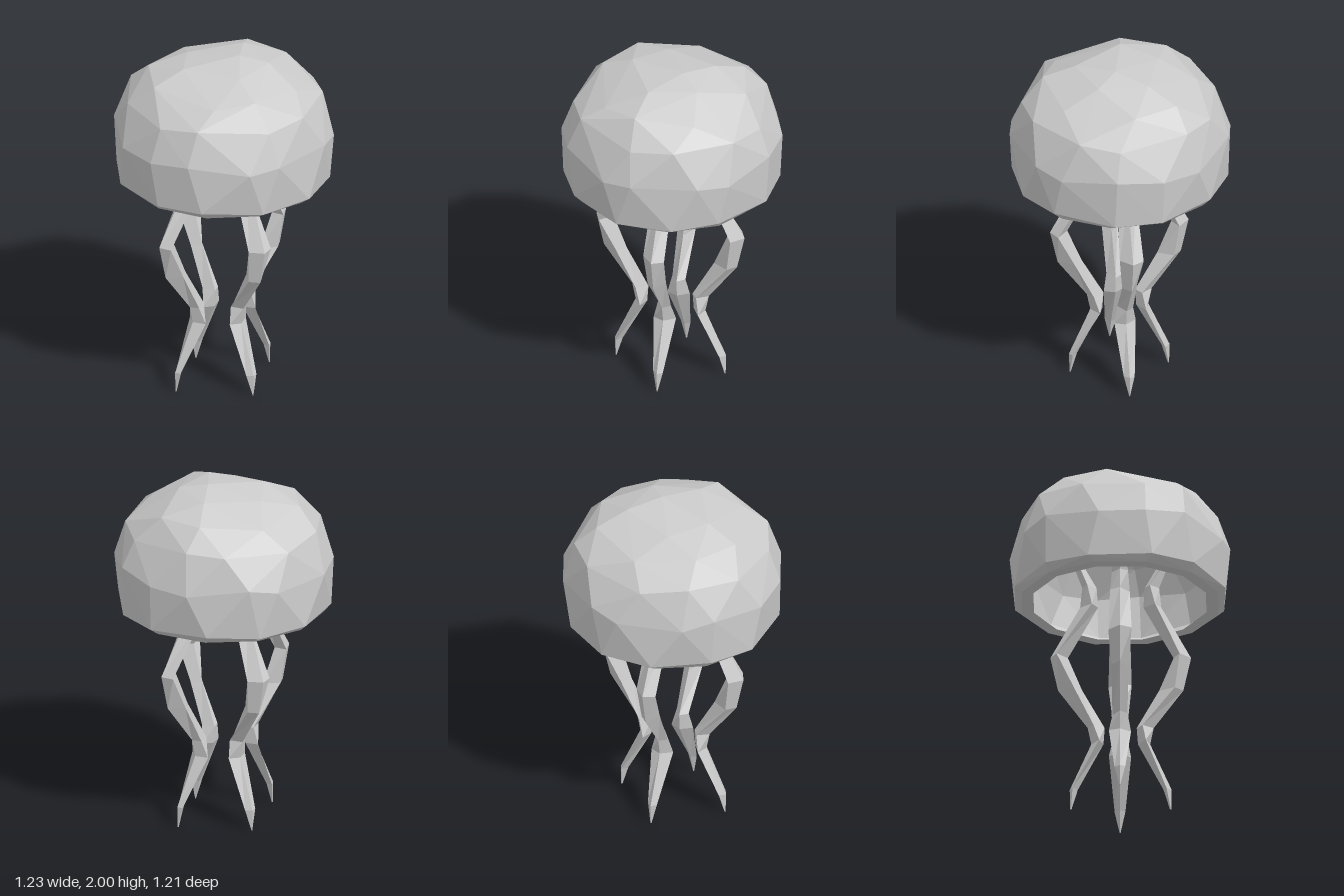
import * as THREE from 'three';
import { ConvexGeometry } from 'three/addons/geometries/ConvexGeometry.js';

const material = new THREE.MeshStandardMaterial({ color: 0xcccccc, flatShading: true, side: THREE.DoubleSide });
const RIM_Y = 1.27;
const INNER = 0.88; // inner shell size relative to the outer one

function geometryFrom(positions) {
  const g = new THREE.BufferGeometry();
  g.setAttribute('position', new THREE.Float32BufferAttribute(positions, 3));
  g.computeVertexNormals();
  return g;
}

function part(positions, name) {
  const mesh = new THREE.Mesh(geometryFrom(positions), material);
  mesh.name = name;
  return mesh;
}

// Ring of points with a slight, repeatable unevenness
function ring(y, r, n, phase, wobble) {
  return Array.from({ length: n }, (_, i) => {
    const a = ((i + phase + wobble * 8 * Math.sin(i * 2.7 + n)) / n) * Math.PI * 2;
    return new THREE.Vector3(r * Math.cos(a), y + wobble * Math.sin(i * 4.1 + phase * 9), r * Math.sin(a));
  });
}

// Faceted hollow bell: outer shell, inner shell and the rim joining them
function makeBell() {
  const bell = new THREE.Group();
  bell.name = 'bell';
  const rim = ring(RIM_Y, 0.565, 12, 0.5, 0);
  const points = [
    new THREE.Vector3(0.04, 2, -0.08),
    ...ring(1.965, 0.25, 5, 0.3, 0.012),
    ...ring(1.89, 0.43, 8, 0.1, 0.02),
    ...ring(1.77, 0.55, 11, 0.4, 0.02),
    ...ring(1.57, 0.617, 14, 0, 0.025),
    ...ring(1.305, 0.605, 12, 0.5, 0.01),
    ...rim,
  ];
  const hull = new ConvexGeometry(points).attributes.position.array;
  const outer = [], inner = [], edge = [];
  const shrink = (x, y, z) => [x * INNER, RIM_Y + (y - RIM_Y) * INNER, z * INNER];
  for (let i = 0; i < hull.length; i += 9) {
    const t = [0, 3, 6].map((k) => [...hull.slice(i + k, i + k + 3)]);
    if (t.every((p) => p[1] < RIM_Y + 0.002)) continue; // leave the underside open
    outer.push(...t.flat());
    inner.push(...[t[0], t[2], t[1]].flatMap((p) => shrink(...p)));
  }
  rim.forEach((p, i) => {
    const q = rim[(i + 1) % rim.length];
    const a = p.toArray(), b = q.toArray(), c = shrink(...b), d = shrink(...a);
    edge.push(...a, ...b, ...c, ...a, ...c, ...d);
  });
  bell.add(part(outer, 'bellOuter'), part(inner, 'bellInner'), part(edge, 'bellRim'));
  return bell;
}

// Zigzag tentacle lofted through diamond sections: [y, inner reach, outer reach, half width]
const SECTIONS = [
  [0, 0.27, 0.278, 0.003],
  [0.12, 0.235, 0.28, 0.03],
  [0.4, 0.092, 0.16, 0.062],
  [0.5, 0.085, 0.18, 0.042],
  [0.73, 0.21, 0.345, 0.047],
  [0.93, 0.29, 0.388, 0.065],
  [1.24, 0.122, 0.222, 0.055],
  [1.36, 0.13, 0.21, 0.045],
  [1.58, 0.25, 0.29, 0.02],
];

function makeTentacle(name, angle, shift) {
  const rings = SECTIONS.map(([y, a, b, w], i) => {
    const mid = (a + b) / 2 + shift, skew = (b - a) * 0.15 * (i % 2 ? 1 : -1);
    return [[b + shift, y, 0], [mid + skew, y, -w], [a + shift, y, 0], [mid - skew, y, w]];
  });
  const pos = [];
  for (let i = 0; i < rings.length - 1; i++) {
    for (let j = 0; j < 4; j++) {
      const k = (j + 1) % 4;
      const [a, b, c, d] = [rings[i][j], rings[i][k], rings[i + 1][k], rings[i + 1][j]];
      pos.push(...a, ...b, ...c, ...a, ...c, ...d);
    }
  }
  for (const [r, flip] of [[rings[0], true], [rings[rings.length - 1], false]]) {
    const [a, b, c, d] = flip ? [...r].reverse() : r;
    pos.push(...a, ...b, ...c, ...a, ...c, ...d);
  }
  const mesh = part(pos, name);
  mesh.rotation.y = angle;
  return mesh;
}

export function createModel() {
  const model = new THREE.Group();
  model.name = 'jellyfish';
  model.add(
    makeBell(),
    makeTentacle('leftTentacle', 0, 0.008),
    makeTentacle('backTentacle', Math.PI / 2, 0.035),
    makeTentacle('rightTentacle', Math.PI, 0),
    makeTentacle('frontTentacle', -Math.PI / 2, 0.052),
  );
  return model;
}
